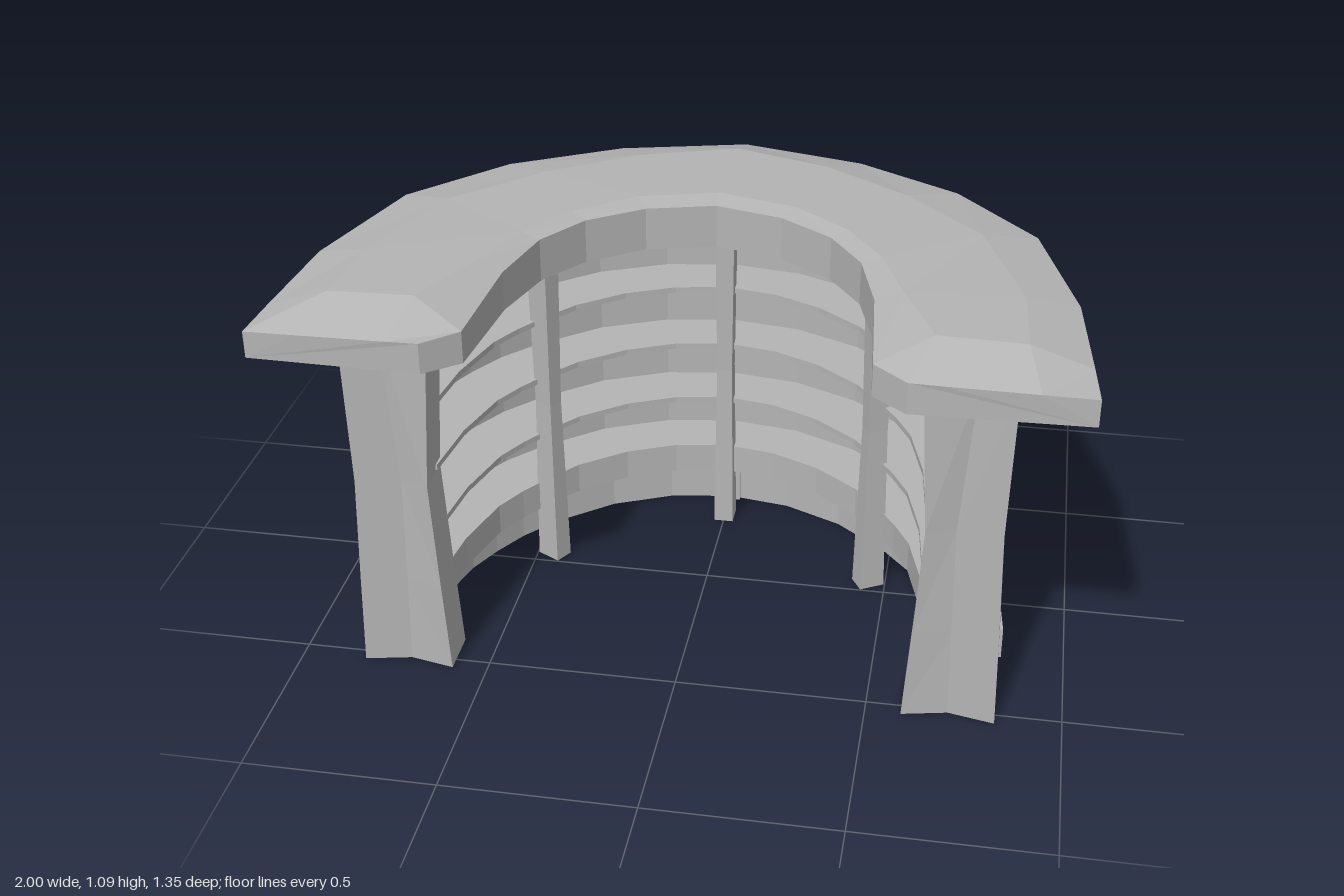
import * as THREE from 'three';

// Joins equal-length closed cross-sections into a capped, flat-faceted solid
function loft(sections) {
  const pos = [];
  let volume = 0;
  const tri = (a, b, c) => {
    pos.push(...a, ...b, ...c);
    volume += new THREE.Vector3(...a).dot(new THREE.Vector3(...b).cross(new THREE.Vector3(...c)));
  };
  const n = sections[0].length;
  for (let i = 0; i < sections.length - 1; i++) {
    const s = sections[i], t = sections[i + 1];
    for (let j = 0; j < n; j++) {
      const k = (j + 1) % n;
      tri(s[j], s[k], t[k]);
      tri(s[j], t[k], t[j]);
    }
  }
  const first = sections[0], last = sections[sections.length - 1];
  for (let j = 1; j < n - 1; j++) {
    tri(first[0], first[j + 1], first[j]);
    tri(last[0], last[j], last[j + 1]);
  }
  // Turn the faces outward if the sections ran the other way
  if (volume < 0) {
    for (let i = 0; i < pos.length; i += 9) {
      for (let k = 0; k < 3; k++) {
        [pos[i + 3 + k], pos[i + 6 + k]] = [pos[i + 6 + k], pos[i + 3 + k]];
      }
    }
  }
  const g = new THREE.BufferGeometry();
  g.setAttribute('position', new THREE.Float32BufferAttribute(pos, 3));
  g.computeVertexNormals();
  return g;
}

// Completes a half run of sections (starting at x = 0) with its mirror image
const mirrorRun = (half) => [
  ...half.slice(1).reverse().map((s) => s.map(([x, y, z]) => [-x, y, z])),
  ...half,
];

// Half plans [x, z] from the back centre to the front end
const outerPlan = [[0, -0.505], [0.2, -0.475], [0.386, -0.39], [0.546, -0.255], [0.635, -0.155],
  [0.695, -0.05], [0.74, 0.05], [0.795, 0.255], [0.815, 0.45]];
const innerPlan = [[0, -0.33], [0.14, -0.305], [0.27, -0.245], [0.39, -0.15], [0.46, -0.06],
  [0.51, 0.015], [0.555, 0.1], [0.6, 0.27], [0.62, 0.45]];

// Plan lying a fraction t of the way from the outer to the inner curve
const plan = (t) => outerPlan.map(([x, z], i) => [
  x + (innerPlan[i][0] - x) * t, z + (innerPlan[i][1] - z) * t]);

// Curved strip of rectangular section
function curvedStrip(t0, t1, y0, y1) {
  const a = plan(t0), b = plan(t1);
  return loft(mirrorRun(a.map(([x, z], i) => [
    [x, y0, z], [x, y1, z], [b[i][0], y1, b[i][1]], [b[i][0], y0, b[i][1]]])));
}

export function createModel() {
  const group = new THREE.Group();
  const grey = new THREE.MeshStandardMaterial({ color: 0xb4b4b4, flatShading: true });
  grey.name = 'plain grey';
  const add = (name, geometry) => {
    const mesh = new THREE.Mesh(geometry, grey);
    mesh.name = name;
    group.add(mesh);
    return mesh;
  };

  // Countertop: outer edge, outer ridge, inner ridge, inner edge as [x, z, top height]
  const stations = [
    [[0, -0.68, 1.036], [0, -0.53, 1.083], [0, -0.21, 1.085], [0, -0.15, 1.073]],
    [[0.34, -0.57, 1.045], [0.26, -0.44, 1.083], [0.21, -0.15, 1.085], [0.18, -0.1, 1.073]],
    [[0.62, -0.38, 1.055], [0.49, -0.28, 1.083], [0.36, -0.03, 1.085], [0.32, 0, 1.073]],
    [[0.84, -0.12, 1.057], [0.7, -0.06, 1.083], [0.46, 0.12, 1.085], [0.41, 0.13, 1.07]],
    [[0.95, 0.26, 1.056], [0.82, 0.29, 1.085], [0.53, 0.31, 1.085], [0.46, 0.31, 1.06]],
    [[0.985, 0.54, 1.04], [0.835, 0.53, 1.085], [0.62, 0.52, 1.085], [0.485, 0.6, 1.04]],
    [[1, 0.67, 1.032], [0.87, 0.672, 1.034], [0.65, 0.672, 1.036], [0.57, 0.67, 1.036]],
  ];
  add('countertop', loft(mirrorRun(stations.map((s) => [
    [s[0][0], 0.962, s[0][1]],
    ...s.map(([x, z, y]) => [x, y, z]),
    [s[3][0], 0.956, s[3][1]],
  ]))));

  // Curved wall, projecting base band and recessed kick board
  add('outerWall', curvedStrip(0, 0.15, 0.15, 0.965));
  const band = add('baseBand', curvedStrip(0, 1, 0.15, 0.236));
  band.scale.set(1.022, 1, 1.01);
  add('kickBoard', curvedStrip(0.26, 0.42, 0, 0.16));

  // Shelves inside the curve
  for (const y of [0.382, 0.556, 0.733]) add('shelf', curvedStrip(0.1, 1, y, y + 0.016));

  // Upright with a slightly slimmer waist, turned to face the curve
  const upright = (x, z, angle, width, depth, top) => {
    const g = loft([[0, 1.1], [0.5, 0.85], [top, 1.05]].map(([y, f]) => {
      const w = (width / 2) * f, d = (depth / 2) * f;
      return [[-w, y, -d], [w, y, -d], [w, y, d], [-w, y, d]];
    }));
    g.rotateY(angle);
    g.translate(x, 0, z);
    return g;
  };
  add('centreColumn', upright(0, -0.325, 0, 0.05, 0.06, 0.965));
  add('backFoot', new THREE.BoxGeometry(0.06, 0.16, 0.06).translate(0, 0.08, -0.445));

  for (const side of [-1, 1]) {
    add('sideColumn', upright(side * 0.452, -0.045, -side * 1.05, 0.05, 0.065, 0.965));
    const foot = new THREE.BoxGeometry(0.055, 0.16, 0.06);
    foot.rotateY(-side * 1.05);
    foot.translate(side * 0.615, 0.08, -0.125);
    add('sideFoot', foot);

    // Front post: waisted, with a shallow crease down its face
    const levels = [
      [0, 0.592, 0.71, 0.83, 0.535],
      [0.25, 0.608, 0.705, 0.824, 0.531],
      [0.55, 0.625, 0.7, 0.815, 0.527],
      [0.965, 0.6, 0.73, 0.825, 0.527],
    ];
    add('frontPost', loft(levels.map(([y, inner, crease, outer, z]) => [
      [side * crease, y, z - 0.025],
      [side * outer, y, z],
      [side * outer, y, 0.445],
      [side * inner, y, 0.41],
      [side * inner, y, z],
    ])));
  }
  return group;
}
